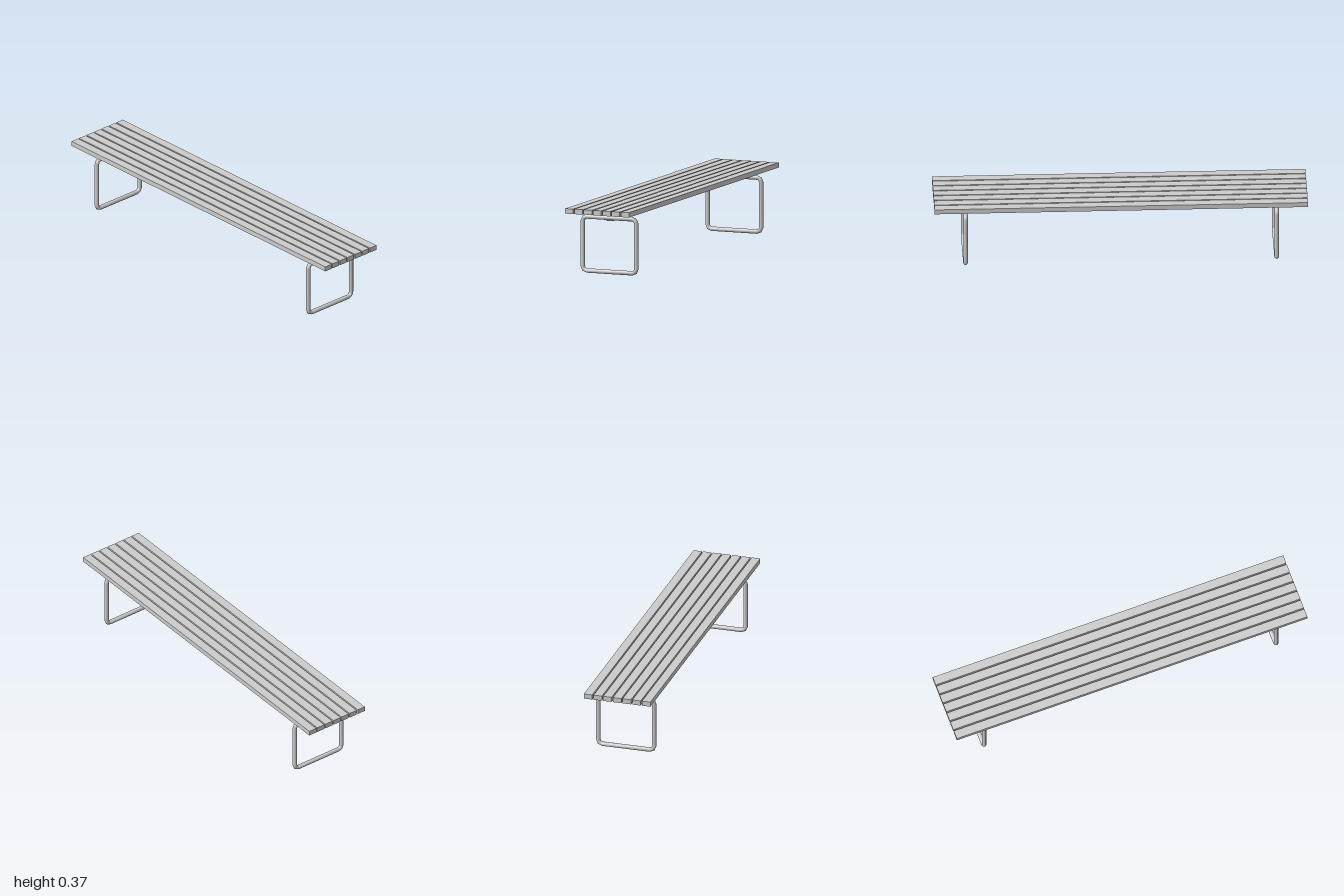
import * as THREE from 'three';

const material = new THREE.MeshStandardMaterial({ color: 0xcccccc });

// Closed tube swept round a rectangle whose corners are cut in two short facets
function tubeFrame(halfW, bottom, top, bend, tube, sides = 12) {
  const pos = [], index = [];
  const inset = bend + tube;
  const corners = [
    [halfW - inset, top - inset], [-halfW + inset, top - inset],
    [-halfW + inset, bottom + inset], [halfW - inset, bottom + inset],
  ];
  corners.forEach(([cx, cy], c) => {
    for (let k = 0; k < 3; k++) {
      const dir = (c + k / 2) * Math.PI / 2;
      for (let j = 0; j < sides; j++) {
        const a = j / sides * Math.PI * 2;
        const r = bend + tube * Math.cos(a);
        pos.push(cx + r * Math.cos(dir), cy + r * Math.sin(dir), tube * Math.sin(a));
      }
    }
  });
  const rings = corners.length * 3;
  for (let i = 0; i < rings; i++) {
    for (let j = 0; j < sides; j++) {
      const n = ((i + 1) % rings) * sides, m = i * sides, j2 = (j + 1) % sides;
      index.push(m + j, n + j, n + j2, m + j, n + j2, m + j2);
    }
  }
  const geo = new THREE.BufferGeometry();
  geo.setAttribute('position', new THREE.Float32BufferAttribute(pos, 3));
  geo.setIndex(index);
  geo.computeVertexNormals();
  return geo;
}

export function createModel() {
  const model = new THREE.Group();
  model.name = 'slattedBench';
  const add = (name, geo, x, y, z) => {
    const mesh = new THREE.Mesh(geo, material);
    mesh.name = name;
    mesh.position.set(x, y, z);
    model.add(mesh);
  };

  // Seven long seat slats
  const slat = new THREE.BoxGeometry(0.047, 0.027, 2);
  for (let i = -3; i <= 3; i++) add(`seatSlat${i + 4}`, slat, i * 0.0543, 0.3525, 0);

  // Tubular leg loops, one near each end
  const loop = tubeFrame(0.168, 0, 0.316, 0.0225, 0.012);
  add('frontLegLoop', loop, 0, 0, 0.833);
  add('backLegLoop', loop, 0, 0, -0.833);

  // Central rail joining the two loops
  add('centreRail', new THREE.BoxGeometry(0.037, 0.031, 1.666), 0, 0.3025, 0);

  return model;
}
